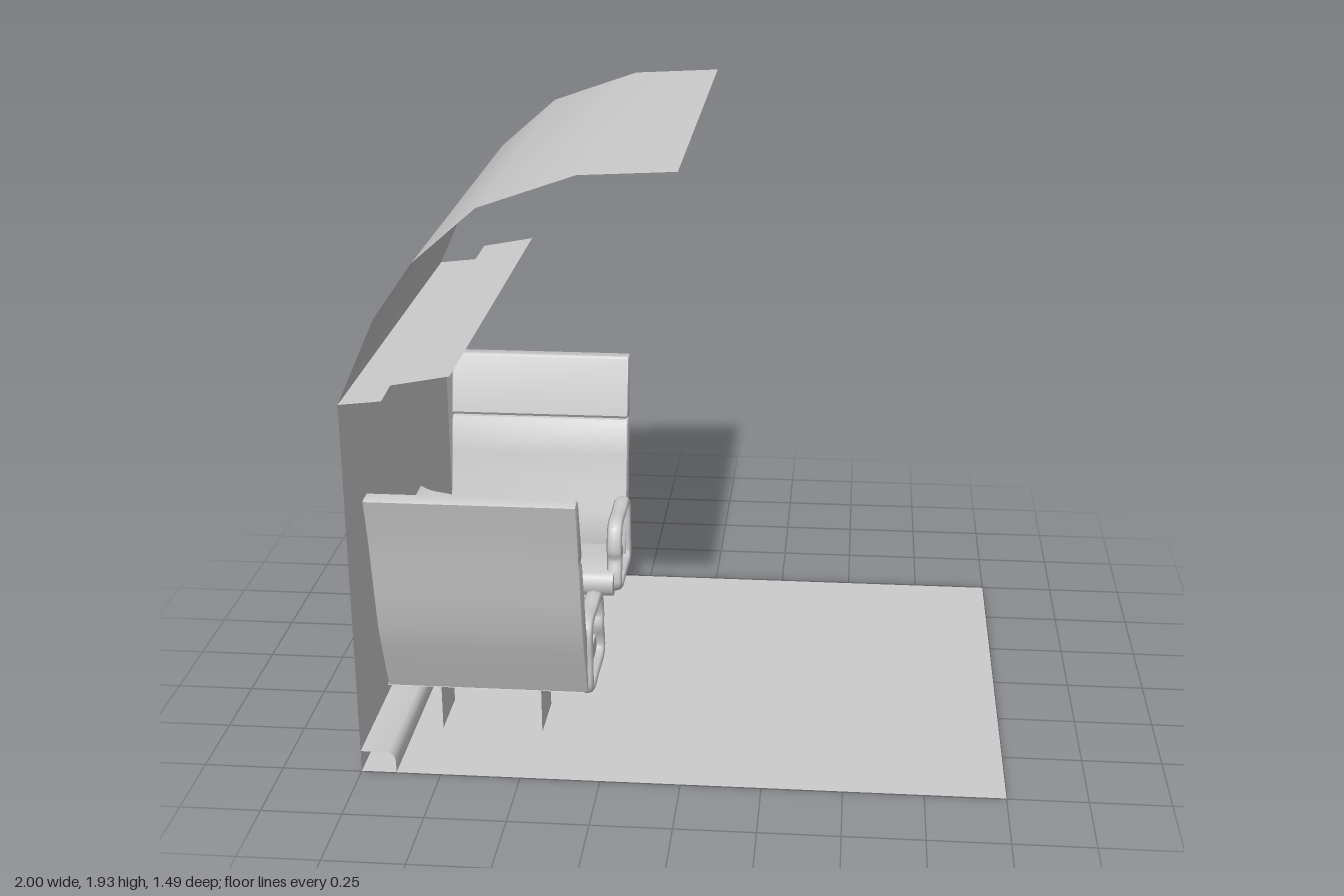
import * as THREE from 'three';
import { toCreasedNormals } from 'three/addons/utils/BufferGeometryUtils.js';

const HALF = 0.747; // half length of the compartment along z
const material = new THREE.MeshStandardMaterial({ color: 0xcccccc, side: THREE.DoubleSide });

function add(parent, name, geometry) {
  const mesh = new THREE.Mesh(geometry, material);
  mesh.name = name;
  parent.add(mesh);
  return mesh;
}

// Thin sheet: an (x, y) profile swept along z
function sheet(profile, crease = 0.6) {
  const n = profile.length;
  const g = new THREE.PlaneGeometry(1, 1, n - 1, 1);
  const p = g.attributes.position;
  for (let i = 0; i < p.count; i++) {
    const [x, y] = profile[i % n];
    p.setXYZ(i, x, y, i < n ? -HALF : HALF);
  }
  g.computeVertexNormals();
  return toCreasedNormals(g, crease);
}

// Solid: a closed (z, y) profile extruded from x0 to x1; side = 1 or -1 flips z
function solid(profile, x0, x1, side = 1, bevel = 0) {
  const shape = new THREE.Shape(profile.map(([z, y]) => new THREE.Vector2(z * side, y)));
  const g = new THREE.ExtrudeGeometry(shape, {
    depth: x1 - x0 - 2 * bevel,
    bevelEnabled: bevel > 0,
    bevelThickness: bevel,
    bevelSize: bevel,
    bevelOffset: -bevel,
    bevelSegments: 2,
  });
  g.rotateY(-Math.PI / 2);
  g.translate(x1 - bevel, 0, 0);
  return toCreasedNormals(g, 0.7);
}

function createSeat(side) {
  const seat = new THREE.Group();
  seat.name = side > 0 ? 'frontSeat' : 'rearSeat';
  const x0 = -0.955, x1 = -0.312;

  // Upright back: lower pad and separate head pad
  add(seat, 'backrest', solid([
    [0.53, 0.19], [0.56, 0.265], [0.595, 0.36], [0.622, 0.436], [0.645, 0.56], [0.667, 0.685],
    [0.612, 0.682], [0.6, 0.67], [0.575, 0.56], [0.552, 0.46], [0.52, 0.36], [0.49, 0.24], [0.5, 0.19],
  ], x0, x1, side, 0.006));
  add(seat, 'headrest', solid([
    [0.666, 0.68], [0.68, 0.757], [0.714, 0.9], [0.705, 0.905], [0.664, 0.907], [0.655, 0.9],
    [0.602, 0.7], [0.608, 0.69],
  ], x0, x1, side, 0.006));

  // Cushion with a rounded front nose
  add(seat, 'cushion', solid([
    [0.53, 0.188], [0.27, 0.182], [0.215, 0.172], [0.195, 0.18], [0.184, 0.2], [0.184, 0.228],
    [0.197, 0.248], [0.222, 0.256], [0.3, 0.26], [0.4, 0.255], [0.51, 0.24],
  ], x0, x1 - 0.01, side));

  // Looped armrest on the aisle side
  const loop = [
    [0.515, 0.2], [0.52, 0.3], [0.52, 0.39], [0.5, 0.414], [0.39, 0.415], [0.29, 0.414],
    [0.264, 0.395], [0.246, 0.33], [0.255, 0.295], [0.238, 0.24], [0.238, 0.205], [0.258, 0.188],
    [0.38, 0.187], [0.495, 0.187],
  ].map(([z, y]) => new THREE.Vector3(0, y, z * side));
  const arm = new THREE.TubeGeometry(new THREE.CatmullRomCurve3(loop, true), 64, 0.016, 8, true);
  arm.scale(1.7, 1, 1);
  arm.translate(-0.322, 0, 0);
  add(seat, 'armrest', arm);

  // Two thin plate legs
  for (const x of [-0.8, -0.475]) {
    const leg = new THREE.PlaneGeometry(0.19, 0.185);
    leg.rotateY(Math.PI / 2);
    leg.translate(x, 0.0925, 0.365 * side);
    add(seat, 'leg', leg);
  }
  return seat;
}

// Half-round table: rings of a half disc, upturned where it meets the wall
function createTable() {
  const shape = new THREE.Shape();
  const steps = 20, lip = 0.06;
  const height = (u) => 0.53 + 0.018 * Math.max(0, 1 - u / lip) ** 2;
  const g = new THREE.BoxGeometry(1, 1, 1, steps, 1, 20);
  const p = g.attributes.position;
  for (let i = 0; i < p.count; i++) {
    // even angles along the rim give x; z spans the chord there
    const a = (p.getX(i) + 0.5) * Math.PI / 2;
    const u = 0.25 * Math.sin(a);
    const z = p.getZ(i) * 0.5 * Math.cos(a);
    p.setXYZ(i, -1 + u, height(u) + p.getY(i) * 0.008, z);
  }
  g.computeVertexNormals();
  return g;
}

export function createModel() {
  const model = new THREE.Group();
  model.name = 'trainCompartment';

  // Shell: floor, side wall and half of the arched roof
  add(model, 'floor', sheet([[-1, 0], [1, 0]]));
  add(model, 'wall', sheet([[-1, 0], [-1, 1.22]]));
  add(model, 'roof', sheet([
    [-1, 1.22], [-0.88, 1.485], [-0.76, 1.655], [-0.57, 1.82], [-0.283, 1.92], [0, 1.935],
  ]));

  // Luggage shelf and floor duct along the wall
  add(model, 'luggageShelf', sheet([[-1, 1.22], [-0.87, 1.235], [-0.84, 1.285], [-0.665, 1.318]]));
  add(model, 'floorDuct', sheet([[-1, 0.07], [-0.91, 0.07], [-0.895, 0.058], [-0.89, 0.04], [-0.89, 0]], 1));

  add(model, 'table', createTable());

  // Wall bin, tapering downwards, with a slightly wider lid
  const bin = new THREE.Group();
  bin.name = 'bin';
  const body = new THREE.BoxGeometry(1, 0.26, 0.266);
  const p = body.attributes.position;
  for (let i = 0; i < p.count; i++) {
    const front = p.getY(i) > 0 ? -0.885 : -0.917;
    p.setX(i, p.getX(i) > 0 ? front : -1);
  }
  body.translate(0, 0.225, 0);
  body.computeVertexNormals();
  add(bin, 'binBody', body);
  add(bin, 'binLid', new THREE.BoxGeometry(0.122, 0.01, 0.284)).position.set(-0.939, 0.357, 0);
  model.add(bin);

  // Facing pair of seats
  for (const side of [1, -1]) model.add(createSeat(side));
  return model;
}
